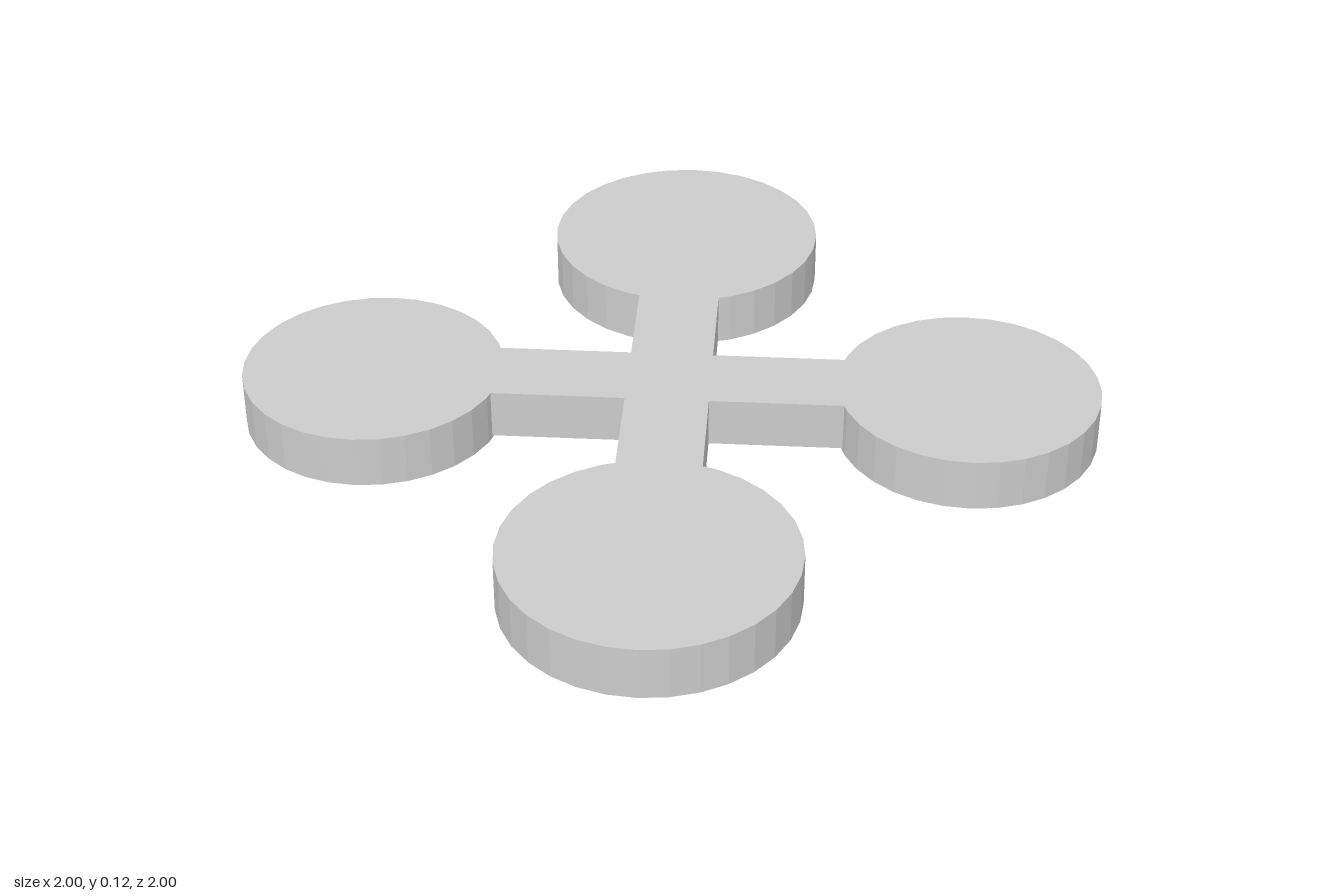
import * as THREE from 'three';

const HEIGHT = 0.125;
const ARM_BOTTOM = 0.007;
const HALF_WIDTH = 0.097;

export function createModel() {
  const model = new THREE.Group();
  model.name = 'fourLobedPlate';
  const material = new THREE.MeshStandardMaterial({ color: 0xcccccc, flatShading: true });

  // Four round pads: the side pair is slightly smaller than the front and back pair
  const addPad = (name, x, z, radius) => {
    const pad = new THREE.Mesh(new THREE.CylinderGeometry(radius, radius, HEIGHT, 32), material);
    pad.name = name;
    pad.position.set(x, HEIGHT / 2, z);
    model.add(pad);
  };
  for (const side of [1, -1]) {
    addPad(side > 0 ? 'leftPad' : 'rightPad', side * 0.695, 0, 0.305);
    addPad(side > 0 ? 'frontPad' : 'backPad', 0, side * 0.67, 0.33);
  }

  // Cross-shaped connector, its arms ending just inside the pads
  const w = HALF_WIDTH, ax = 0.42, az = 0.37;
  const outline = [
    [ax, -w], [ax, w], [w, w], [w, az], [-w, az], [-w, w],
    [-ax, w], [-ax, -w], [-w, -w], [-w, -az], [w, -az], [w, -w],
  ].map(([x, y]) => new THREE.Vector2(x, y));
  const crossGeometry = new THREE.ExtrudeGeometry(new THREE.Shape(outline), {
    depth: HEIGHT - ARM_BOTTOM,
    bevelEnabled: false,
  });
  crossGeometry.rotateX(-Math.PI / 2);
  const cross = new THREE.Mesh(crossGeometry, material);
  cross.name = 'crossArms';
  cross.position.y = ARM_BOTTOM;
  model.add(cross);

  return model;
}
